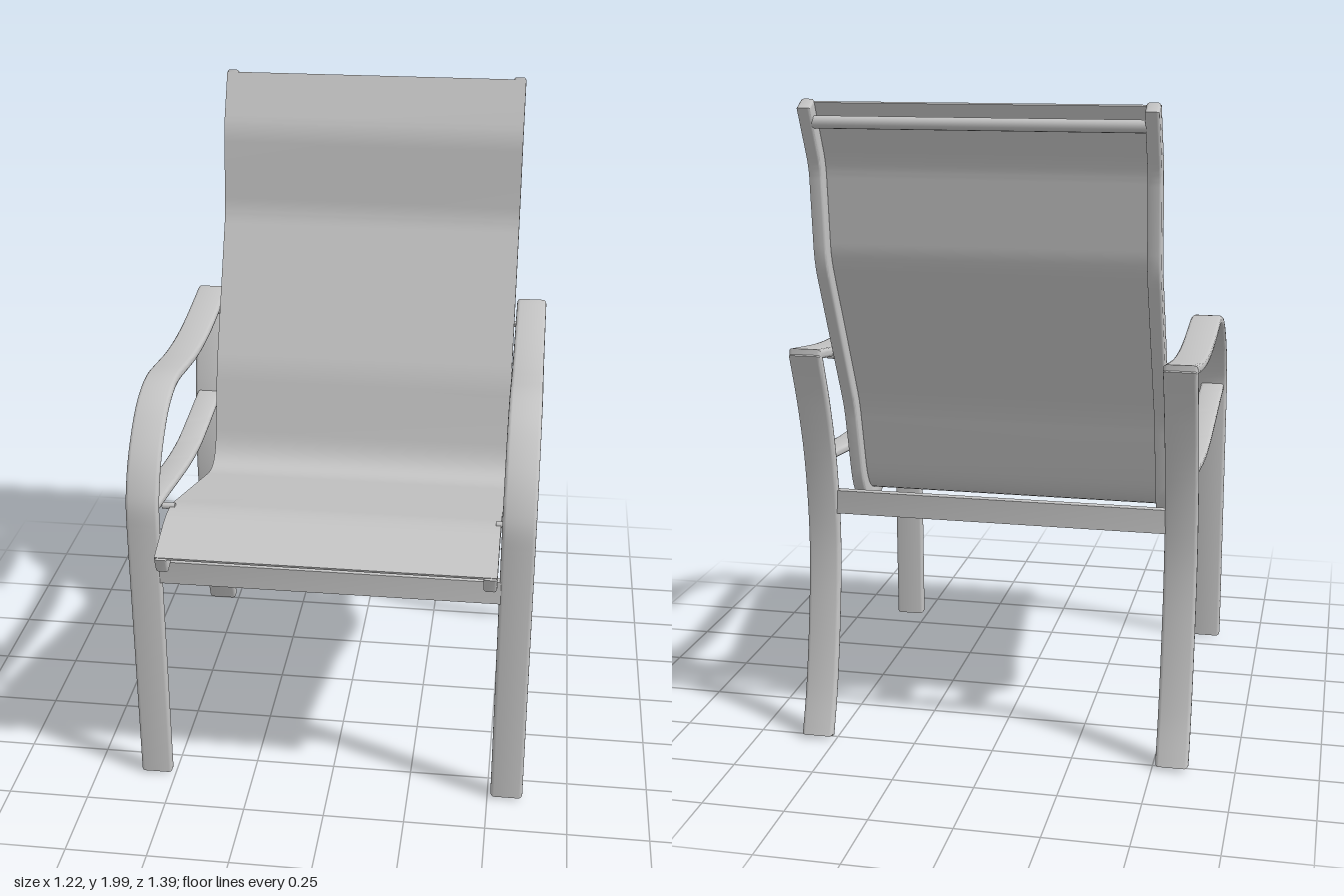
import * as THREE from 'three';
import { toCreasedNormals } from 'three/addons/utils/BufferGeometryUtils.js';

const grey = new THREE.MeshStandardMaterial({ color: 0xc4c4c4 });
grey.name = 'grey';

const v = (p) => new THREE.Vector2(p[0], p[1]);

// Smooth path through [z, y] points
const spline = (pts, n = 40) => new THREE.SplineCurve(pts.map(v)).getPoints(n);

// Straight runs between [z, y, cut] corners, each corner rounded over the length cut
function filleted(pts) {
  const out = [v(pts[0])];
  for (let i = 1; i < pts.length - 1; i++) {
    const c = v(pts[i]), cut = pts[i][2];
    const toward = (p) => c.clone().add(v(p).sub(c).setLength(cut));
    out.push(...new THREE.QuadraticBezierCurve(toward(pts[i - 1]), c, toward(pts[i + 1])).getPoints(10));
  }
  out.push(v(pts[pts.length - 1]));
  return out;
}

// Shift a path sideways by d
function offset(path, d) {
  return path.map((p, i) => {
    const a = path[Math.max(i - 1, 0)], b = path[Math.min(i + 1, path.length - 1)];
    const t = b.clone().sub(a).normalize();
    return new THREE.Vector2(p.x - t.y * d, p.y + t.x * d);
  });
}

// Flat bar of given thickness following a [z, y] path, spanning x0..x1
function ribbon(name, path, thickness, x0, x1, bevel) {
  const h = thickness / 2 - bevel;
  const outline = [...offset(path, h), ...offset(path, -h).reverse()];
  const shape = new THREE.Shape(outline.map((p) => new THREE.Vector2(-p.x, p.y)));
  const geo = new THREE.ExtrudeGeometry(shape, {
    depth: x1 - x0 - 2 * bevel,
    bevelEnabled: bevel > 0, bevelSize: bevel, bevelThickness: bevel, bevelSegments: 3,
  });
  geo.rotateY(Math.PI / 2).translate(x0 + bevel, 0, 0);
  const mesh = new THREE.Mesh(toCreasedNormals(geo, 0.7), grey);
  mesh.name = name;
  return mesh;
}

// Cylinder lying along x
function rod(name, radius, x0, x1, y, z) {
  const geo = new THREE.CylinderGeometry(radius, radius, x1 - x0, 16).rotateZ(Math.PI / 2);
  const mesh = new THREE.Mesh(geo, grey);
  mesh.name = name;
  mesh.position.set((x0 + x1) / 2, y, z);
  return mesh;
}

export function createModel() {
  const model = new THREE.Group();
  model.name = 'slingArmchair';

  // Side profile of the seat and back
  const seatPath = filleted([
    [0.682, 0.828], [0.497, 0.892, 0.08], [-0.225, 0.675, 0.16], [-0.315, 1.045, 0.05],
    [-0.553, 1.53, 0.05], [-0.578, 1.81, 0.04], [-0.663, 1.98],
  ]);

  // Front leg running up into the armrest
  const armPath = [v([0.587, 0.022]), ...spline([
    [0.587, 0.88], [0.578, 0.98], [0.525, 1.09], [0.43, 1.185], [0.34, 1.228], [0.25, 1.24],
    [0.13, 1.226], [0, 1.21], [-0.15, 1.205], [-0.3, 1.214], [-0.518, 1.243],
  ], 60)];
  const rearLegPath = spline([
    [-0.517, 1.235], [-0.46, 1.08], [-0.413, 0.9], [-0.39, 0.7], [-0.394, 0.53],
    [-0.424, 0.33], [-0.465, 0.15], [-0.51, 0.02],
  ]);
  const bracePath = spline([
    [0.58, 0.948], [0.4, 0.922], [0.23, 0.895], [0.08, 0.875], [-0.06, 0.868], [-0.2, 0.878], [-0.41, 0.9],
  ]);

  for (const [side, s] of [['left', 1], ['right', -1]]) {
    const add = (part, path, t, a, b, bevel) =>
      model.add(ribbon(side + part, path, t, s > 0 ? a : -b, s > 0 ? b : -a, bevel));
    add('SlingRail', seatPath, 0.05, 0.465, 0.505, 0.008);
    add('FrontLegAndArmrest', armPath, 0.03, 0.51, 0.61, 0.011);
    add('RearLeg', rearLegPath, 0.032, 0.51, 0.61, 0.011);
    add('ArmBrace', bracePath, 0.026, 0.52, 0.60, 0.009);
    // Bolts joining the rail to the arm and the brace
    for (const [y, z] of [[1.215, -0.4], [0.905, 0.46]]) {
      const x = [s * 0.49, s * 0.53].sort((a, b) => a - b);
      model.add(rod(side + 'Bolt', 0.01, x[0], x[1], y, z));
    }
  }

  // Fabric stretched over the upper faces of the rails
  model.add(ribbon('sling', offset(seatPath, -0.023), 0.008, -0.505, 0.505, 0));

  // Cross bars between the legs, and the spreader behind the head
  for (const [name, z] of [['frontCrossBar', 0.587], ['rearCrossBar', -0.391]]) {
    const bar = ribbon(name, [v([z, 0.722]), v([z, 0.778])], 0.026, -0.525, 0.525, 0.009);
    model.add(bar);
  }
  model.add(rod('topSpreader', 0.018, -0.47, 0.47, 1.935, -0.648));

  return model;
}
